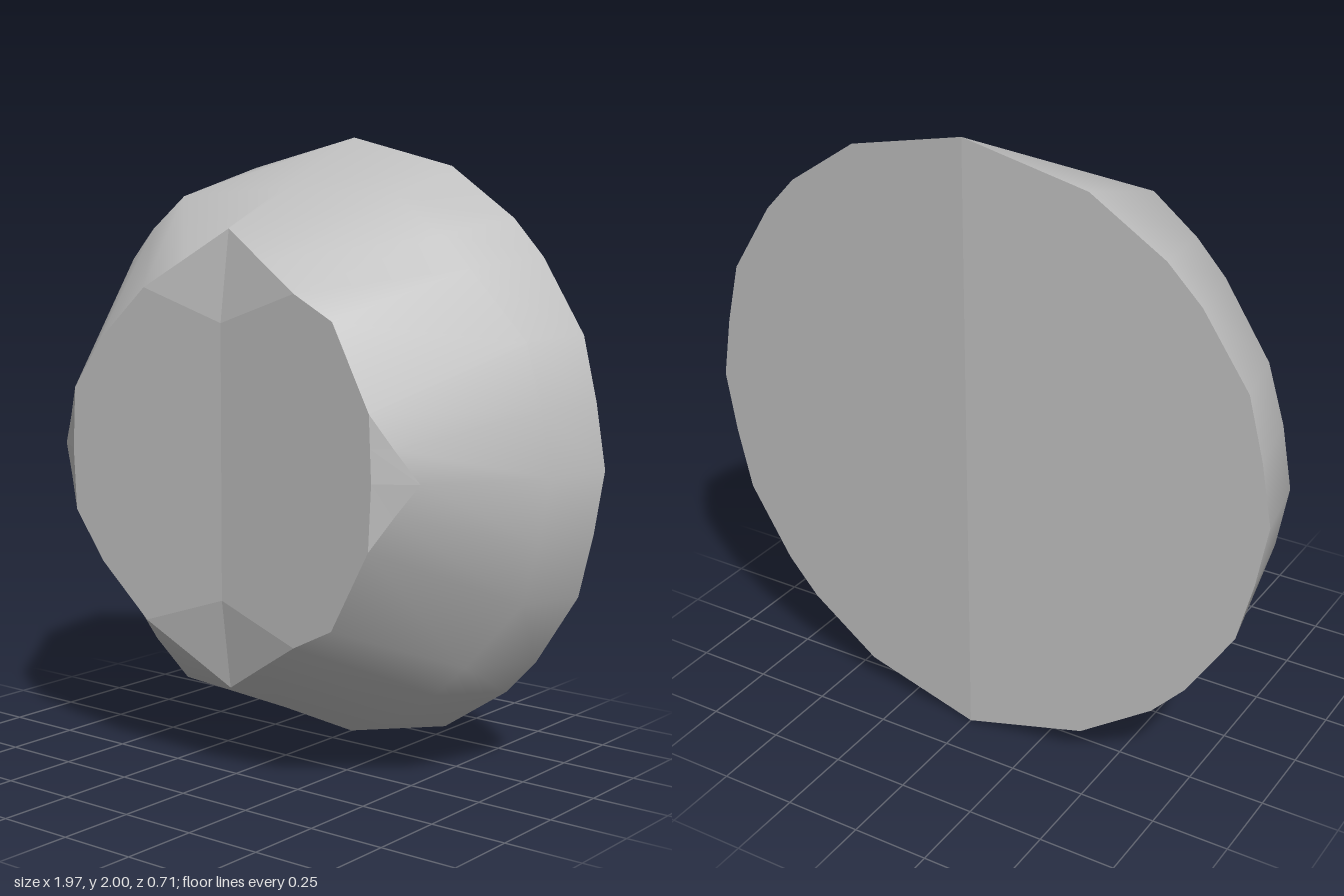
import * as THREE from 'three';

// Quarter cross-sections from the top (x = 0) round to the side (y = 0), as [x, y, z]
const backZ = x => -0.355 + 0.056 * x;
const frontZ = x => 0.315 + 0.067 * x;
const backEdge = [[0, 1], [0.4, 0.905], [0.64, 0.745], [0.75, 0.63], [0.9, 0.4], [0.95, 0.2], [0.985, 0]]
  .map(([x, y]) => [x, y, backZ(x)]);
const middle = [[0, 0.84, 0], [0.43, 0.81, 0], [0.58, 0.7, -0.01], [0.68, 0.6, -0.02],
  [0.85, 0.39, -0.065], [0.905, 0.2, -0.06], [0.94, 0, -0.06]];

// Front outline: its corner sits higher on one side than on the other
const rim = corner => [[0, 0.715, 0.275], [0.15, 0.622, 0.305], [0.3, 0.53, frontZ(0.3)], corner,
  [0.59, 0.2, frontZ(0.59)], [0.65, 0.1, 0.315], [0.715, 0, 0.275]];
const inner = corner => [[0, 0.43, frontZ(0)], [0.15, 0.48, frontZ(0.15)], [0.3, 0.53, frontZ(0.3)], corner,
  [0.59, 0.2, frontZ(0.59)], [0.595, 0.1, frontZ(0.595)], [0.6, 0, frontZ(0.6)]];
const rightCorner = [0.45, 0.455, frontZ(0.45)];
const leftCorner = [0.48, 0.36, frontZ(0.48)];

// Mirror the +x and -x quarters into a closed loop, clockwise from the front
function fullLoop(plusX, minusX = plusX) {
  const half = quarter => [...quarter.slice(0, 6),
    ...quarter.slice(1).reverse().map(([x, y, z]) => [x, -y, z])];
  return [...half(plusX), ...half(minusX).map(([x, y, z]) => [-x, -y, z])];
}

// Project a loop onto the vertical centre line
const toSeam = (loop, z, top) => loop.map(([, y]) => [0, THREE.MathUtils.clamp(y, -top, top), z]);

// Skin a series of loops
function skin(loops, smooth) {
  const n = loops[0].length;
  const index = [];
  for (let r = 0; r < loops.length - 1; r++) {
    for (let i = 0; i < n; i++) {
      const a = r * n + i, a2 = r * n + (i + 1) % n;
      index.push(a, a + n, a2, a2, a + n, a2 + n);
    }
  }
  let geometry = new THREE.BufferGeometry();
  const points = loops.flat().flatMap(([x, y, z]) => [x, y + 1, z]);
  geometry.setAttribute('position', new THREE.Float32BufferAttribute(points, 3));
  geometry.setIndex(index);
  if (!smooth) geometry = geometry.toNonIndexed();
  geometry.computeVertexNormals();
  return geometry;
}

export function createModel() {
  const group = new THREE.Group();
  group.name = 'facetedDome';
  const grey = new THREE.MeshStandardMaterial({ color: 0xc0c0c0 });
  grey.name = 'light grey';

  const add = (name, loops, smooth) => {
    const mesh = new THREE.Mesh(skin(loops, smooth), grey);
    mesh.name = name;
    group.add(mesh);
  };

  const backLoop = fullLoop(backEdge);
  const rimLoop = fullLoop(rim(rightCorner), rim(leftCorner));
  const innerLoop = fullLoop(inner(rightCorner), inner(leftCorner));

  // Rounded wall, wide at the back and narrow at the front
  add('wall', [backLoop, fullLoop(middle), rimLoop], true);
  // Four bevelled tips, then the shallow folded face
  add('frontTips', [rimLoop, innerLoop], false);
  add('frontFace', [innerLoop, toSeam(innerLoop, frontZ(0), 0.43)], false);
  // Closed back with a slight vertical ridge
  add('backFace', [toSeam(backLoop, backZ(0), 1), backLoop], false);
  return group;
}
